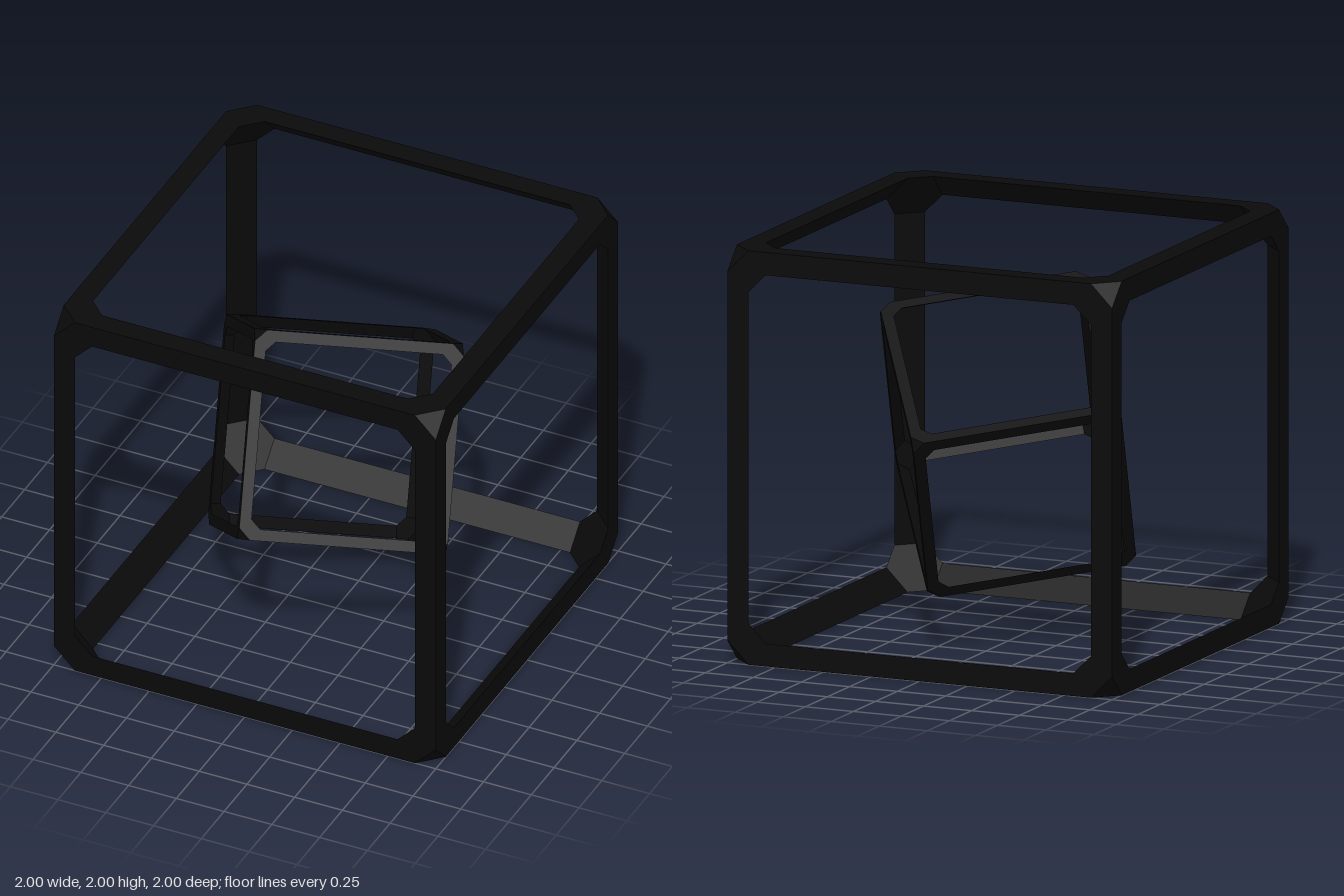
import * as THREE from 'three';
import { ConvexGeometry } from 'three/addons/geometries/ConvexGeometry.js';

const BAR = 0.11;     // leg of the triangular bar section
const CUT = 0.11;     // depth of the cut-off cube tips
const GUSSET = 0.31;  // reach of the corner braces
const signs = [-1, 1];

// Cube frame spanning -1..1, made of triangular bars and braced corners
function cubeFrame(name, material) {
  const frame = new THREE.Group();
  frame.name = name;

  // Right-angled triangle with its sharp edge on the cube edge
  const section = new THREE.Shape();
  section.moveTo(1, 1);
  section.lineTo(1 - BAR, 1);
  section.lineTo(1, 1 - BAR);
  const length = 2 * (1 - GUSSET + BAR);
  const bar = new THREE.ExtrudeGeometry(section, { depth: length, bevelEnabled: false });
  bar.translate(0, 0, -length / 2);

  // Four bars along each of the three axes
  for (const [rx, ry] of [[0, 0], [Math.PI / 2, 0], [0, Math.PI / 2]]) {
    const side = new THREE.Group();
    side.name = 'parallelBars';
    side.rotation.set(rx, ry, 0);
    for (let i = 0; i < 4; i++) {
      const mesh = new THREE.Mesh(bar, material);
      mesh.name = 'edgeBar';
      mesh.rotation.z = i * Math.PI / 2;
      side.add(mesh);
    }
    frame.add(side);
  }

  // Eight corner blocks: the slice between the tip cut and the brace plane
  for (const x of signs) for (const y of signs) for (const z of signs) {
    const points = [];
    for (const d of [CUT, GUSSET]) {
      points.push(
        new THREE.Vector3(x * (1 - d), y, z),
        new THREE.Vector3(x, y * (1 - d), z),
        new THREE.Vector3(x, y, z * (1 - d)));
    }
    const corner = new THREE.Mesh(new ConvexGeometry(points), material);
    corner.name = 'cornerBrace';
    frame.add(corner);
  }
  return frame;
}

export function createModel() {
  const model = new THREE.Group();
  model.name = 'nestedCubeFrames';
  const black = new THREE.MeshStandardMaterial({ color: 0x0a0a0a });

  const outer = cubeFrame('outerCube', black);
  outer.position.y = 1;

  // Half-size cube, tilted about a face diagonal
  const inner = cubeFrame('innerCube', black);
  inner.position.y = 1;
  inner.scale.setScalar(0.5);
  inner.quaternion.setFromAxisAngle(new THREE.Vector3(-1, 1, 0).normalize(), Math.PI / 4);

  model.add(outer, inner);
  return model;
}
